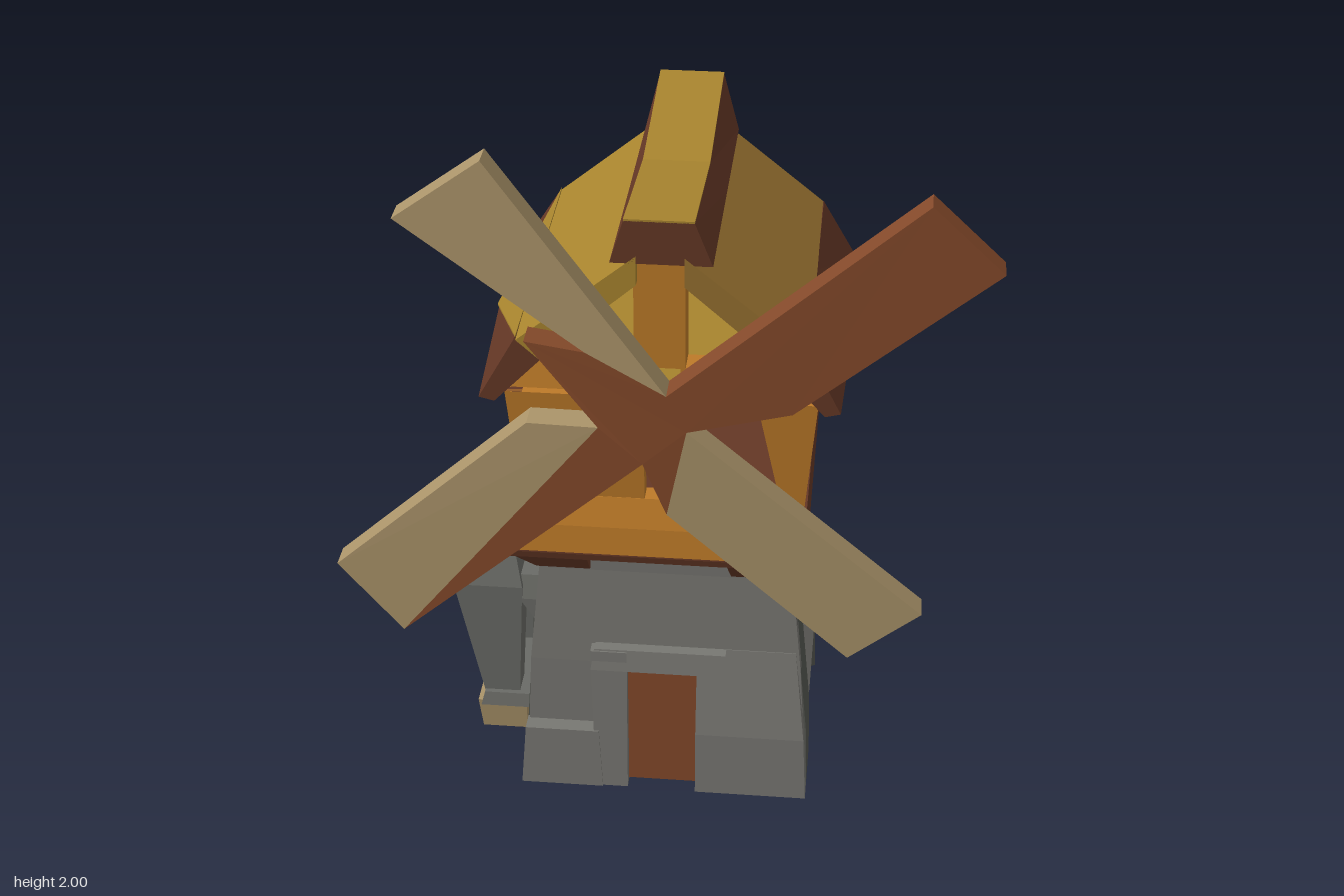
import * as THREE from 'three';

const mat = (color) => new THREE.MeshStandardMaterial({ color, flatShading: true, side: THREE.DoubleSide });
const STONE = mat(0x787772), MIDSTONE = mat(0x6a6b66), DARKSTONE = mat(0x555751);
const WOOD = mat(0x643725), ORANGE = mat(0xbd7a28), DOOR = mat(0x84492a);
const GOLD = mat(0xa8842e), BRONZE = mat(0x96702f), TAN = mat(0xab946a);

// Solid through rings of equal point count, capped unless open; winding is corrected by signed volume
function loft(rings, open = false) {
  const n = rings[0].length, last = rings.length - 1, tris = [];
  for (let r = 0; r < last; r++) {
    for (let i = 0; i < n; i++) {
      const j = (i + 1) % n, a = rings[r], b = rings[r + 1];
      tris.push([a[i], a[j], b[j]], [a[i], b[j], b[i]]);
    }
  }
  for (let i = 1; i < n - 1 && !open; i++) {
    tris.push([rings[0][0], rings[0][i + 1], rings[0][i]], [rings[last][0], rings[last][i], rings[last][i + 1]]);
  }
  let vol = 0;
  for (const [a, b, c] of tris) {
    vol += a[0] * (b[1] * c[2] - b[2] * c[1]) - a[1] * (b[0] * c[2] - b[2] * c[0]) + a[2] * (b[0] * c[1] - b[1] * c[0]);
  }
  if (vol < 0) tris.forEach((t) => t.reverse());
  const g = new THREE.BufferGeometry();
  g.setAttribute('position', new THREE.Float32BufferAttribute(tris.flat(2), 3));
  g.computeVertexNormals();
  return g;
}

// Level rectangle at height y
const rect = (y, x0, x1, z0, z1) => [[x0, y, z0], [x1, y, z0], [x1, y, z1], [x0, y, z1]];

function add(parent, name, geometry, material) {
  const m = new THREE.Mesh(geometry, material);
  m.name = name;
  parent.add(m);
}

// Stack of rectangles [y, x0, x1, z0, z1]
const stack = (parent, name, material, ...rows) => add(parent, name, loft(rows.map((r) => rect(...r))), material);

// Thin plate: a corner loop and its copy shifted along one axis
const plate = (parent, name, material, pts, axis, t) => add(parent, name,
  loft([pts, pts.map((p) => p.map((v, i) => (i === axis ? v + t : v)))]), material);

function buildTower() {
  const g = new THREE.Group();
  g.name = 'stoneTower';
  // Hollow body: recess in the right side, groove in the back
  const ring = (y, x0, x1, zb, zf, dent) => [
    [x0, y, zf], [0, y, zf + 0.005], [x1, y, zf], [x1, y, 0.11], [x1 - dent, y, 0.07],
    [x1 - dent, y, -0.22], [x1, y, -0.28], [x1 - 0.02, y, zb], [0.2, y, zb + 0.01],
    [0.13, y, zb + 0.05], [-0.2, y, zb + 0.02], [x0, y, zb + 0.01], [x0 - 0.01, y, -0.1],
  ];
  add(g, 'towerBody', loft([
    ring(0, -0.39, 0.4, -0.47, 0.28, 0.09), ring(0.19, -0.385, 0.395, -0.47, 0.28, 0.1),
    ring(0.4, -0.37, 0.375, -0.42, 0.28, 0.09), ring(0.7, -0.34, 0.345, -0.4, 0.26, 0.04),
    ring(0.82, -0.32, 0.33, -0.38, 0.25, 0.02),
  ], true), DARKSTONE);
  // Paler facade
  stack(g, 'frontFacade', STONE, [0, -0.39, 0.4, 0.25, 0.29], [0.4, -0.37, 0.375, 0.25, 0.29],
    [0.7, -0.34, 0.345, 0.22, 0.28], [0.82, -0.21, 0.18, 0.22, 0.285]);
  // Sloping ledge, leaning slab and pale splinter in the right recess
  stack(g, 'sideLedge', STONE, [0, 0.3, 0.37, -0.28, 0.11], [0.19, 0.28, 0.395, -0.28, 0.11],
    [0.27, 0.26, 0.33, -0.2, 0.04]);
  add(g, 'leaningSlab', loft([
    [[0.28, 0.2, 0.11], [0.37, 0.2, 0.11], [0.36, 0.22, -0.02], [0.28, 0.22, -0.02]],
    [[0.28, 0.6, 0.1], [0.355, 0.6, 0.1], [0.35, 0.6, -0.24], [0.28, 0.6, -0.24]],
    [[0.26, 0.8, 0.1], [0.34, 0.8, 0.1], [0.34, 0.79, -0.25], [0.26, 0.79, -0.25]],
  ]), DARKSTONE);
  plate(g, 'paleSplinter', STONE, [[0.345, 0.22, -0.02], [0.34, 0.21, -0.2], [0.33, 0.6, -0.24]], 0, -0.05);
  // Doorway
  stack(g, 'frontStep', STONE, [0, -0.4, -0.17, 0.22, 0.34], [0.19, -0.385, -0.18, 0.22, 0.335]);
  stack(g, 'leftJamb', STONE, [0, -0.19, -0.1, 0.22, 0.335], [0.46, -0.2, -0.1, 0.22, 0.325]);
  stack(g, 'lintel', STONE, [0.4, -0.2, 0.13, 0.22, 0.33], [0.465, -0.19, 0.17, 0.22, 0.32]);
  stack(g, 'rightJamb', STONE, [0, 0.09, 0.4, 0.2, 0.34], [0.2, 0.09, 0.39, 0.2, 0.335],
    [0.465, 0.09, 0.36, 0.2, 0.29]);
  stack(g, 'door', DOOR, [0.005, -0.1, 0.09, 0.22, 0.3], [0.4, -0.1, 0.09, 0.22, 0.3]);
  return g;
}

function buildFountain() {
  const g = new THREE.Group();
  g.name = 'sideFountain';
  stack(g, 'basinBase', TAN, [0, -0.55, -0.42, -0.2, 0.1], [0.1, -0.56, -0.42, -0.22, 0.11]);
  stack(g, 'basinRim', MIDSTONE, [0.09, -0.55, -0.38, -0.23, 0.12], [0.13, -0.54, -0.38, -0.22, 0.11]);
  // Two tapering pillars, one on each side of the niche
  for (const [z, out] of [[-0.2, 0.57], [0.055, 0.615]]) {
    stack(g, 'pillar', MIDSTONE, [0.12, -0.54, -0.44, z - 0.04, z + 0.04],
      [0.5, -out, -0.42, z - 0.06, z + 0.05], [0.6, -0.55, -0.44, z - 0.03, z + 0.02]);
  }
  stack(g, 'archTop', MIDSTONE, [0.52, -0.57, -0.43, -0.22, 0.08], [0.63, -0.55, -0.44, -0.13, 0.0]);
  stack(g, 'wallLink', MIDSTONE, [0.38, -0.38, -0.33, -0.2, 0.1], [0.46, -0.43, -0.33, -0.2, 0.1],
    [0.53, -0.44, -0.33, -0.18, 0.08]);
  add(g, 'spout', loft([
    [[-0.5, 0.41, -0.1], [-0.5, 0.53, -0.1], [-0.5, 0.53, -0.03], [-0.5, 0.41, -0.03]],
    [[-0.6, 0.43, -0.1], [-0.61, 0.52, -0.1], [-0.61, 0.52, -0.03], [-0.6, 0.43, -0.03]],
    [[-0.67, 0.43, -0.12], [-0.68, 0.5, -0.12], [-0.68, 0.5, -0.005], [-0.67, 0.43, -0.005]],
  ]), GOLD);
  return g;
}

function buildHouse() {
  const g = new THREE.Group();
  g.name = 'woodenHouse';
  stack(g, 'floorSkirt', WOOD, [0.79, -0.41, 0.375, -0.49, 0.365], [0.81, -0.42, 0.38, -0.5, 0.37],
    [0.85, -0.39, 0.375, -0.475, 0.365], [0.91, -0.375, 0.375, -0.465, 0.36]);
  // Corner brackets under the skirt; the stone shows between them
  for (const [x0, x1, X0, X1] of [[-0.345, -0.2, -0.41, -0.2], [0.18, 0.34, 0.17, 0.375]]) {
    for (const [z0, z1, Z0, Z1] of [[0.15, 0.29, 0.1, 0.365], [-0.44, -0.27, -0.49, -0.25]]) {
      stack(g, 'cornerBracket', WOOD, [0.71, x0, x1, z0, z1], [0.8, X0, X1, Z0, Z1]);
    }
  }
  stack(g, 'frontApron', ORANGE, [0.82, -0.405, 0.375, 0.25, 0.378], [0.9, -0.375, 0.37, 0.25, 0.37],
    [0.98, -0.34, 0.33, 0.29, 0.345]);
  // Wall with a window, leaning outward toward the top
  const vec = (pts) => pts.map((p) => new THREE.Vector2(...p));
  const wall = (name, half, material, angle, dist, lean, opening) => {
    const s = new THREE.Shape(vec([[-half, 0.87], [half, 0.87], [half * 1.1, 1.3], [-half * 1.1, 1.3]]));
    s.holes.push(new THREE.Path(vec(opening)));
    const geo = new THREE.ExtrudeGeometry(s, { depth: 0.045, bevelEnabled: false });
    const p = geo.attributes.position;
    for (let i = 0; i < p.count; i++) p.setZ(i, p.getZ(i) + dist - 0.045 + lean * (p.getY(i) - 0.87));
    geo.rotateY(angle);
    geo.translate(0, 0, -0.06);
    geo.computeVertexNormals();
    add(g, name, geo, material);
  };
  wall('frontWall', 0.362, ORANGE, 0, 0.395, 0.08, [[-0.045, 0.98], [-0.045, 1.28], [0.25, 1.27], [0.31, 0.98]]);
  wall('backWall', 0.362, WOOD, Math.PI, 0.4, 0.08, [[-0.06, 0.98], [-0.045, 1.26], [0.045, 1.26], [0.06, 0.98]]);
  wall('leftWall', 0.39, WOOD, -Math.PI / 2, 0.362, 0.085, [[-0.13, 0.98], [-0.1, 1.26], [-0.01, 1.26], [0.03, 0.98]]);
  wall('rightWall', 0.39, WOOD, Math.PI / 2, 0.362, 0.085, [[-0.03, 0.98], [-0.03, 1.26], [0.05, 1.26], [0.14, 0.98]]);
  // Recessed shutters in the side windows
  for (const s of [1, -1]) {
    add(g, 'shutter', loft([0.33, 0.35].map((x) => [[s * x, 0.96, s > 0 ? -0.02 : -0.06], [s * x, 0.96, -0.22],
      [s * (x + 0.02), 1.28, -0.12], [s * (x + 0.02), 1.28, -0.02]])), WOOD);
  }
  // Attic floor, tie beams and king posts in the open gables
  stack(g, 'atticFloor', GOLD, [1.27, -0.39, 0.39, -0.46, 0.34], [1.31, -0.38, 0.38, -0.44, 0.32]);
  for (const [z, m] of [[0.31, ORANGE], [-0.43, WOOD]]) {
    stack(g, 'tieBeam', m, [1.28, -0.4, 0.4, z - 0.04, z + 0.04], [1.37, -0.36, 0.36, z - 0.05, z + 0.02]);
    stack(g, 'kingPost', m, [1.3, -0.07, 0.06, z - 0.05, z + 0.03], [1.68, -0.07, 0.06, z - 0.05, z + 0.03]);
  }
  plate(g, 'gableBrace', ORANGE, [[-0.36, 1.36, 0.32], [-0.1, 1.36, 0.32], [-0.3, 1.46, 0.32]], 2, -0.05);
  return g;
}

function buildRoof() {
  const g = new THREE.Group();
  g.name = 'roof';
  // Cross-sections at the front, middle and back; the middle bulges outward
  const stations = [[0.37, 0], [-0.08, 0.02], [-0.495, 0.01]];
  const along = (f) => loft(stations.map(([z, b]) => f(b).map(([x, y]) => [x, y, z])));
  for (const s of [1, -1]) {
    const out = s > 0 ? 0.455 : 0.465;
    add(g, 'roofSlope', along((b) => [[s * 0.06, 1.7], [s * (0.365 + b * 0.3), 1.45],
      [s * 0.31, 1.4], [s * 0.06, 1.62]]), s > 0 ? BRONZE : GOLD);
    add(g, 'roofEave', along((b) => [[s * 0.37, 1.45], [s * (out + b), 1.28 + b * 0.5],
      [s * (out - 0.04 + b), 1.27 + b * 0.5], [s * 0.3, 1.4]]), WOOD);
  }
  // Golden facet reaching down over the left-hand eave
  plate(g, 'eaveFacet', GOLD, [[-0.365, 1.455, 0.368], [-0.365, 1.455, -0.493], [-0.487, 1.3, -0.08]], 1, 0.006);
  // Sagging ridge cap with a golden top board
  const cap = [[0.37, 1.8, 0.37, 1.68], [-0.08, 1.75, -0.08, 1.67], [-0.53, 1.81, -0.49, 1.66]];
  add(g, 'ridgeCap', loft(cap.map(([zt, yt, zb, yb]) =>
    [[-0.09, yt - 0.005, zt], [0.085, yt - 0.005, zt], [0.13, yb, zb], [-0.125, yb, zb]])), WOOD);
  add(g, 'ridgeTop', loft(cap.map(([z, y]) =>
    [[-0.09, y, z], [0.085, y, z], [0.085, y - 0.006, z], [-0.09, y - 0.006, z]])), GOLD);
  return g;
}

function buildSails() {
  const g = new THREE.Group();
  g.name = 'sails';
  // Flat outline, thickest at the hub
  const sail = (name, material, pts) => {
    const geo = new THREE.ExtrudeGeometry(new THREE.Shape(pts.map((p) => new THREE.Vector2(...p))),
      { depth: 1, bevelEnabled: false });
    const p = geo.attributes.position;
    for (let i = 0; i < p.count; i++) {
      const k = Math.min(1, Math.hypot(p.getX(i), p.getY(i) - 1.32) / 0.8);
      p.setZ(i, p.getZ(i) > 0.5 ? 0.53 - 0.03 * k : 0.45 - 0.02 * k);
    }
    geo.computeVertexNormals();
    add(g, name, geo, material);
  };
  sail('upperRightSail', TAN, [[-0.41, 2], [-0.63, 1.84], [-0.17, 1.51], [0.03, 1.4]]);
  sail('upperLeftSail', DOOR, [[0.65, 1.93], [0.03, 1.4], [0.08, 1.3], [0.34, 1.36], [0.83, 1.76]]);
  sail('lowerRightSail', TAN, [[-0.835, 0.83], [-0.67, 0.63], [-0.14, 1.3], [-0.32, 1.3]]);
  sail('lowerLeftSail', TAN, [[0.08, 1.3], [0.03, 1.05], [0.5, 0.62], [0.685, 0.77]]);
  sail('sailArms', DOOR, [[-0.32, 1.53], [-0.14, 1.3], [-0.67, 0.63], [-0.03, 1.2], [0.03, 1.05],
    [0.08, 1.3], [0.03, 1.4], [-0.17, 1.51]]);
  add(g, 'axle', loft([
    [[-0.06, 1.29, 0.47], [0.06, 1.29, 0.47], [0.06, 1.39, 0.47], [-0.06, 1.39, 0.47]],
    [[-0.04, 1.28, 0.25], [0.04, 1.28, 0.25], [0.04, 1.36, 0.25], [-0.04, 1.36, 0.25]],
  ]), GOLD);
  return g;
}

export function createModel() {
  const model = new THREE.Group();
  model.name = 'windmill';
  model.add(buildTower(), buildFountain(), buildHouse(), buildRoof(), buildSails());
  return model;
}
